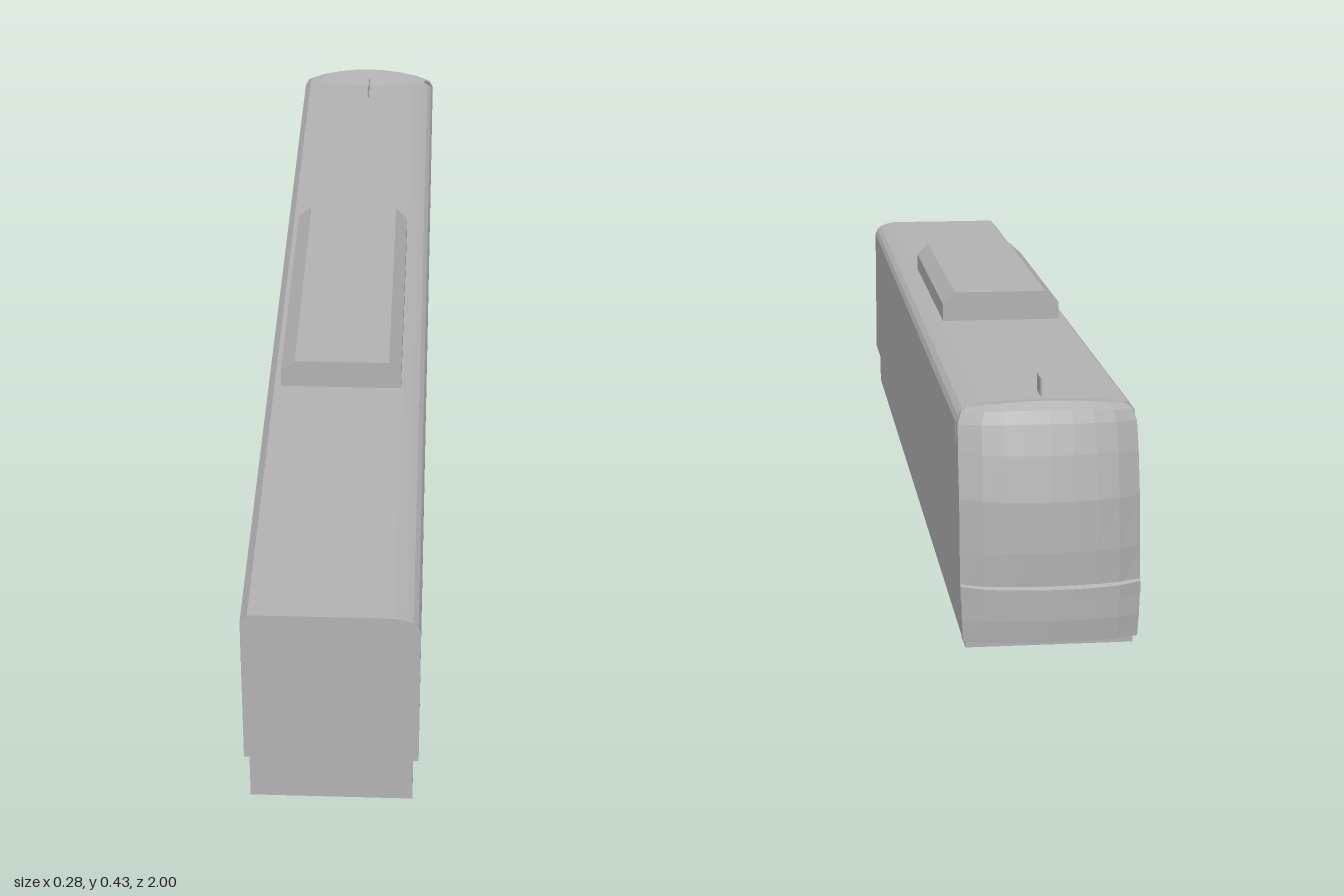
import * as THREE from 'three';

const grey = new THREE.MeshStandardMaterial({ color: 0xb2b2b2, side: THREE.DoubleSide });
grey.name = 'plain grey';

function add(group, name, geometry) {
  const mesh = new THREE.Mesh(geometry, grey);
  mesh.name = name;
  group.add(mesh);
  return mesh;
}

// Prism along z with an outline of [x, y] points
function prism(points, zBack, zFront) {
  const shape = new THREE.Shape(points.map(p => new THREE.Vector2(...p)));
  const g = new THREE.ExtrudeGeometry(shape, { depth: zFront - zBack, bevelEnabled: false });
  return g.translate(0, 0, zBack);
}

// Bowed end shell. Each row: y, centre z, edge z, half width, drop of the edge in y.
// Outermost columns run forward to zJoin and form the short side walls.
function bowedShell(rows, zJoin, segments = 8) {
  const pos = [], index = [], cols = segments + 3;
  for (const [y, zc, ze, w, drop] of rows) {
    pos.push(-w, y - drop, Math.max(zJoin, ze));
    for (let i = 0; i <= segments; i++) {
      const t = (i / segments) * 2 - 1;
      const bow = 0.65 * t * t + 0.35 * t ** 6;
      pos.push(t * w, y - drop * t * t, zc + (ze - zc) * bow);
    }
    pos.push(w, y - drop, Math.max(zJoin, ze));
  }
  for (let r = 0; r < rows.length - 1; r++) {
    for (let c = 0; c < cols - 1; c++) {
      const a = r * cols + c, b = a + 1, d = a + cols, e = d + 1;
      index.push(a, d, b, b, d, e);
    }
  }
  let g = new THREE.BufferGeometry();
  g.setAttribute('position', new THREE.Float32BufferAttribute(pos, 3));
  g.setIndex(index);
  g = g.toNonIndexed();
  g.computeVertexNormals();
  return g;
}

export function createModel() {
  const group = new THREE.Group();
  group.name = 'railCar';

  // Long body: chamfered shoulder on one side, rounded on the other
  add(group, 'body', prism([
    [-0.142, 0.083], [0.142, 0.083], [0.142, 0.35], [0.138, 0.36], [0.13, 0.368],
    [0.118, 0.373], [0.1, 0.377], [-0.13, 0.377], [-0.142, 0.363],
  ], -0.9, 1));

  // Open-bottomed skirt of four thin walls
  const skirt = new THREE.Group();
  skirt.name = 'skirt';
  group.add(skirt);
  const height = 0.083, zBack = -0.957, length = 1 - zBack;
  for (const s of [-1, 1]) {
    const side = add(skirt, 'skirtSide', new THREE.PlaneGeometry(length, height));
    side.rotation.y = s * Math.PI / 2;
    side.position.set(s * 0.133, height / 2, zBack + length / 2);
    const end = add(skirt, 'skirtEnd', new THREE.PlaneGeometry(0.266, height));
    if (s < 0) end.rotation.y = Math.PI;
    end.position.set(0, height / 2, s > 0 ? 1 : zBack);
  }

  // Sloping bowed cab, from its floor up to the roof join
  add(group, 'cab', bowedShell([
    [0.083, -0.9, -0.9, 0.142, 0],
    [0.083, -0.99, -0.963, 0.142, 0],
    [0.16, -0.992, -0.96, 0.142, 0],
    [0.24, -0.987, -0.952, 0.142, 0],
    [0.31, -0.972, -0.935, 0.142, 0],
    [0.357, -0.957, -0.922, 0.141, 0.005],
    [0.377, -0.947, -0.914, 0.135, 0.008],
    [0.388, -0.928, -0.905, 0.125, 0.012],
    [0.377, -0.87, -0.87, 0.12, 0.001],
  ], -0.9));

  // Ledge below the cab face
  add(group, 'ledge', bowedShell([
    [0.083, -0.985, -0.96, 0.14, 0],
    [0.083, -1, -0.968, 0.142, 0],
    [0.103, -1, -0.968, 0.142, 0],
    [0.108, -0.985, -0.958, 0.14, 0],
  ], -0.955));

  // Bumper apron
  add(group, 'bumper', bowedShell([
    [0.014, -0.988, -0.968, 0.138, 0],
    [0.05, -0.992, -0.97, 0.14, 0],
    [0.084, -0.992, -0.97, 0.141, 0],
  ], -0.95));

  // Roof equipment box with chamfered top edges
  add(group, 'roofUnit', prism([
    [-0.118, 0.376], [0.097, 0.376], [0.097, 0.408],
    [0.075, 0.43], [-0.093, 0.43], [-0.118, 0.408],
  ], -0.215, 0.35));

  // Small upright fin on the roof
  const fin = add(group, 'roofFin', new THREE.BoxGeometry(0.003, 0.03, 0.04));
  fin.position.set(0, 0.391, -0.828);

  return group;
}
